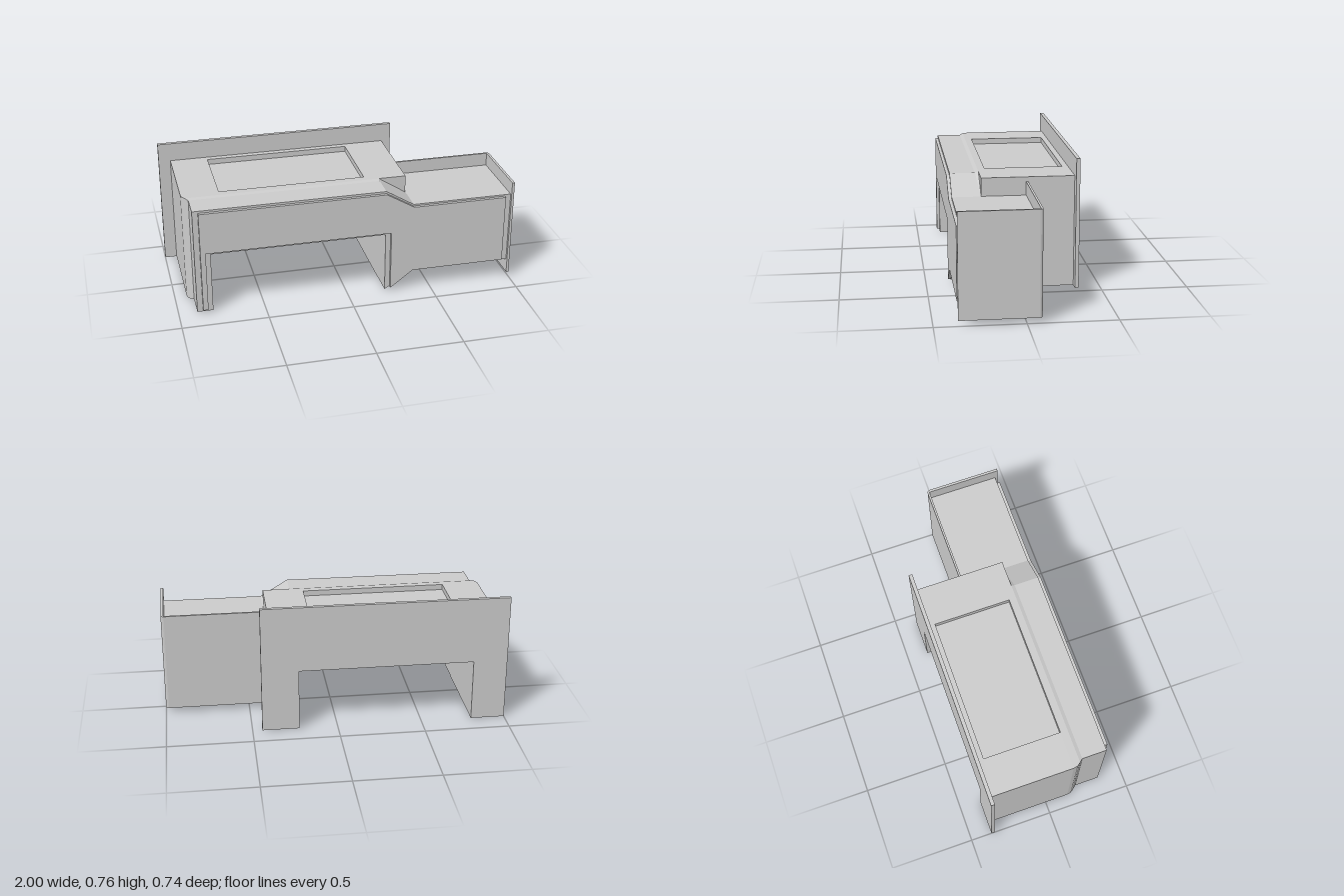
import * as THREE from 'three';

const material = new THREE.MeshStandardMaterial({ color: 0xcccccc, flatShading: true });

// Solid through matching outlines (counter-clockwise in x, y), given from back to front
function loft(sections) {
  const pos = [];
  const tri = (...pts) => pts.forEach((p) => pos.push(...p));
  const rings = sections.map(([z, pts]) => pts.map(([x, y]) => [x, y, z]));
  for (let s = 0; s < rings.length - 1; s++) {
    const a = rings[s], b = rings[s + 1], n = a.length;
    for (let i = 0; i < n; i++) {
      const j = (i + 1) % n;
      tri(a[i], a[j], b[j]);
      tri(a[i], b[j], b[i]);
    }
  }
  const first = rings[0], last = rings[rings.length - 1];
  const caps = (ring) => THREE.ShapeUtils.triangulateShape(ring.map(([x, y]) => new THREE.Vector2(x, y)), []);
  for (const [i, j, k] of caps(first)) tri(first[k], first[j], first[i]);
  for (const [i, j, k] of caps(last)) tri(last[i], last[j], last[k]);
  const geo = new THREE.BufferGeometry();
  geo.setAttribute('position', new THREE.Float32BufferAttribute(pos, 3));
  geo.computeVertexNormals();
  return geo;
}

// Plan outline in (x, z) raised from y0 to y1, with an optional opening
function slab(plan, y0, y1, opening) {
  const flat = (pts) => pts.map(([x, z]) => new THREE.Vector2(x, -z));
  const shape = new THREE.Shape(flat(plan));
  if (opening) shape.holes.push(new THREE.Path(flat(opening)));
  const geo = new THREE.ExtrudeGeometry(shape, { depth: y1 - y0, bevelEnabled: false });
  return geo.rotateX(-Math.PI / 2).translate(0, y0, 0);
}

// Bridge-shaped outline standing on two legs
const NOTCH = { left: -0.8, right: 0.225, top: 0.37 };
const bridge = (left, right, top) => [
  [left, 0], [NOTCH.left, 0], [NOTCH.left, NOTCH.top], [NOTCH.right, NOTCH.top],
  [NOTCH.right, 0], [right, 0], [right, top], [left, top],
];

// Front outline: the bridge narrowing through sloped shoulders into the side arm
const fascia = (left, top, bottom, inset = 0, right = 0.985) => [
  [left, bottom], [NOTCH.left - inset, bottom], [NOTCH.left - inset, NOTCH.top + inset / 2],
  [NOTCH.right + inset, NOTCH.top + inset / 2], [NOTCH.right + inset, bottom],
  [0.39, 0.113 + inset / 3], [right, 0.113 + inset / 3],
  [right, 0.548 - inset / 3], [0.39, 0.548 - inset / 3], [0.225, top], [left, top],
];

export function createModel() {
  const group = new THREE.Group();
  const add = (name, geo) => {
    const mesh = new THREE.Mesh(geo, material);
    mesh.name = name;
    group.add(mesh);
  };

  // Flat flange at the back
  add('backFlange', loft([-0.374, -0.352].map((z) => [z, bridge(-1, 0.443, 0.765)])));

  // Main housing up to the floor of the top recess
  const leftEdge = [[-0.352, -0.93], [0.14, -0.93], [0.165, -0.925], [0.185, -0.911]];
  add('housing', loft(leftEdge.map(([z, x]) => [z, bridge(x, 0.387, 0.622)])));

  // Top rim around the rectangular recess
  const plan = [...leftEdge.map(([z, x]) => [x, z]), [0.387, 0.185], [0.387, -0.352]];
  const opening = [[-0.71, -0.317], [0.145, -0.317], [0.145, 0.142], [-0.71, 0.142]];
  add('topRim', slab(plan, 0.622, 0.655, opening));

  // Front section, tapering slightly where it leaves the housing
  add('frontSection', loft([
    [0.185, fascia(-0.911, 0.655, 0)],
    [0.205, fascia(-0.893, 0.649, 0.005)],
    [0.352, fascia(-0.893, 0.649, 0.005)],
  ]));

  // Inset front panel
  add('frontPanel', loft([0.352, 0.37].map((z) => [z, fascia(-0.86, 0.636, 0.02, 0.03, 0.95)])));

  // Core of the side arm
  const core = new THREE.BoxGeometry(0.605, 0.435, 0.265);
  add('armCore', core.translate(0.6825, 0.3305, 0.0525));

  // Thin wall wrapping the back and end of the arm, with a rounded corner
  const corner = [];
  for (let i = 0; i <= 4; i++) {
    const a = (i / 4) * Math.PI / 2;
    corner.push([0.982 + 0.018 * Math.sin(a), -0.067 - 0.018 * Math.cos(a)]);
  }
  add('armWall', slab([
    [0.385, -0.085], ...corner, [1, 0.368], [0.985, 0.368], [0.985, -0.073], [0.385, -0.073],
  ], 0.031, 0.627));

  return group;
}
